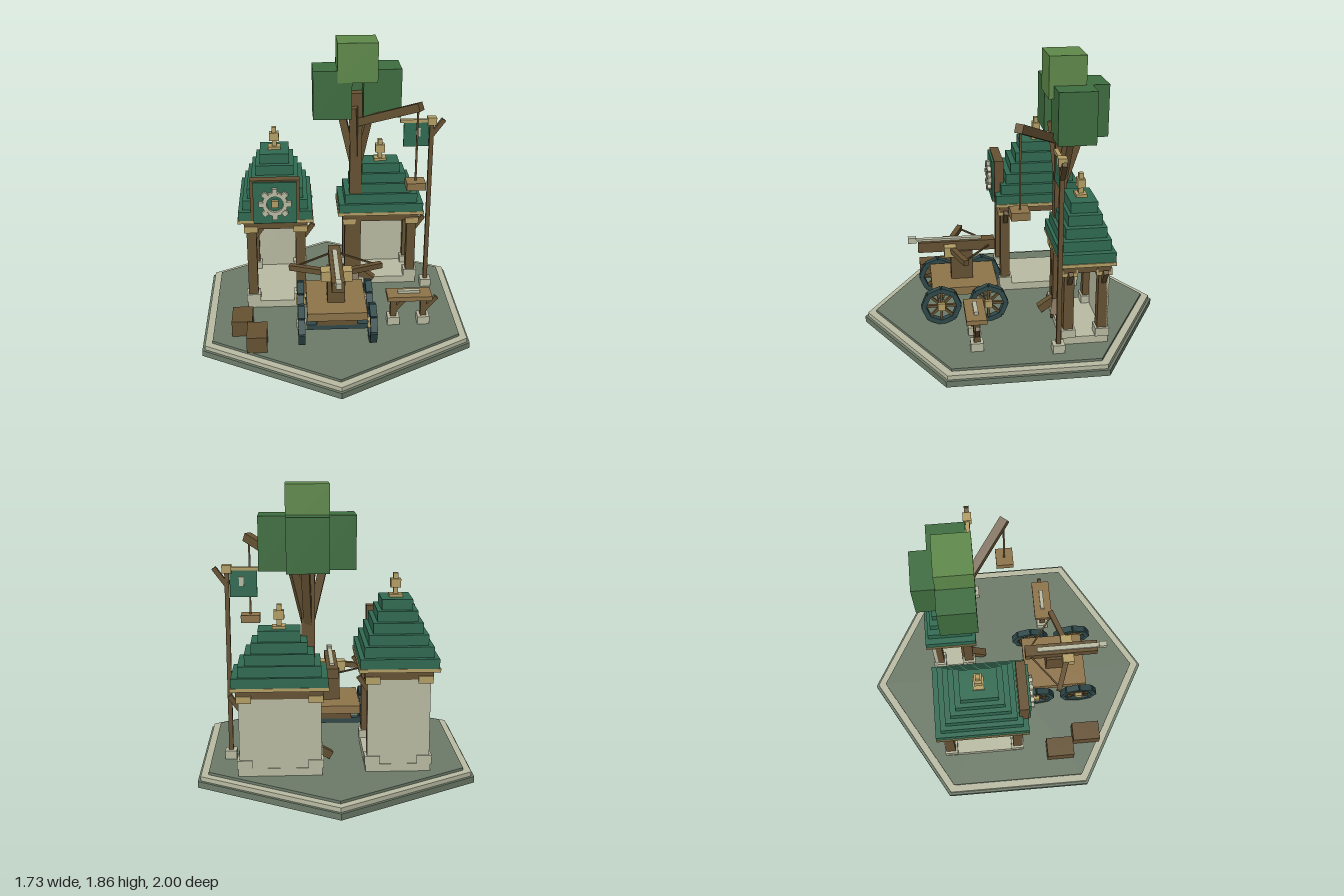
import * as THREE from 'three';

const mat = (name, color) => {
  const m = new THREE.MeshStandardMaterial({ color });
  m.name = name;
  return m;
};

export function createModel() {
  const moss = mat('moss green', 0x6d7b69), stone = mat('pale stone', 0xbabca3);
  const wood = mat('dark wood', 0x665233), plank = mat('plank wood', 0x8e744a);
  const brass = mat('brass', 0xb5a066), roofGreen = mat('roof green', 0x306b52);
  const leaf = mat('leaf green', 0x3f6e40), leafLight = mat('light leaf green', 0x5f8a4a);
  const iron = mat('iron', 0x30494a);
  const model = new THREE.Group();
  model.name = 'hexCourtyard';

  const group = (name, parent = model, x = 0, y = 0, z = 0) => {
    const g = new THREE.Group();
    g.name = name;
    g.position.set(x, y, z);
    parent.add(g);
    return g;
  };
  const add = (parent, name, geo, material) => {
    const m = new THREE.Mesh(geo, material);
    m.name = name;
    parent.add(m);
    return m;
  };
  // box given by its centre and size
  const box = (p, name, material, x, y, z, w, h, d) => {
    const m = add(p, name, new THREE.BoxGeometry(w, h, d), material);
    m.position.set(x, y, z);
    return m;
  };
  // box given by its two opposite corners
  const span = (p, name, material, x0, x1, y0, y1, z0, z1) =>
    box(p, name, material, (x0 + x1) / 2, (y0 + y1) / 2, (z0 + z1) / 2, x1 - x0, y1 - y0, z1 - z0);
  // square timber running from a to b
  const beam = (p, name, material, a, b, w, h = w) => {
    const A = new THREE.Vector3(...a), B = new THREE.Vector3(...b);
    const m = new THREE.Mesh(new THREE.BoxGeometry(w, h, A.distanceTo(B)), material);
    m.name = name;
    m.position.copy(A).add(B).multiplyScalar(0.5);
    m.lookAt(B);
    p.add(m);
    return m;
  };

  // hexagonal ground in three layers
  const base = group('base');
  const hex = (name, material, r, y0, y1) => {
    const g = new THREE.CylinderGeometry(r, r, y1 - y0, 6).toNonIndexed();
    g.computeVertexNormals();
    add(base, name, g, material).position.y = (y0 + y1) / 2;
  };
  hex('foundation', moss, 1, 0, 0.04);
  hex('kerb', stone, 0.98, 0.04, 0.068);
  hex('ground', moss, 0.925, 0.068, 0.085);

  // open-fronted pavilion with a stepped roof; px, pz are the post offsets
  const pavilion = (name, x, z, px, pz, eaveY, tiers, top, roof0, roof1) => {
    const g = group(name, model, x, 0, z);
    const w = 0.064, beamY = eaveY - 0.055;
    box(g, 'floor', stone, 0, 0.11, 0, 2 * px + w + 0.015, 0.05, 2 * pz + w + 0.015);
    for (const sx of [-1, 1]) for (const sz of [-1, 1]) {
      const cx = sx * px, cz = sz * pz;
      box(g, 'plinth', stone, cx, 0.16, cz, 0.095, 0.055, 0.09);
      span(g, 'post', wood, cx - w / 2, cx + w / 2, 0.13, beamY + 0.02, cz - w / 2, cz + w / 2);
      box(g, 'capital', brass, cx, beamY, cz, 0.092, 0.045, 0.1);
      beam(g, 'bracket', wood, [cx + 0.025, beamY - 0.07, cz], [cx + 0.085, beamY + 0.015, cz], 0.03);
    }
    span(g, 'backWall', stone, -px - w / 2, px + w / 2, 0.1, beamY + 0.005, -pz - w / 2 - 0.004, -pz - w / 2 + 0.02);
    for (const s of [-1, 1]) {
      box(g, 'lintel', wood, 0, beamY + 0.028, s * pz, 2 * px + 0.095, 0.055, 0.08);
      box(g, 'sideLintel', wood, s * px, beamY + 0.028, 0, 0.08, 0.055, 2 * pz);
    }
    box(g, 'eave', brass, 0, eaveY + 0.01, 0, 2 * roof0[0] + 0.014, 0.022, 2 * roof0[1] + 0.005);
    const h = (top - eaveY - 0.015) / tiers;
    for (let i = 0; i < tiers; i++) {
      const t = i / (tiers - 1);
      box(g, 'roofTier', roofGreen, 0, eaveY + 0.015 + h * (i + 0.5), 0,
        2 * THREE.MathUtils.lerp(roof0[0], roof1[0], t), h, 2 * THREE.MathUtils.lerp(roof0[1], roof1[1], t));
    }
    // finial
    box(g, 'finialBase', brass, 0, top + 0.009, 0, 0.085, 0.018, 0.07);
    box(g, 'finialStem', brass, 0, top + 0.082, 0, 0.03, 0.135, 0.03);
    box(g, 'finialKnob', brass, 0, top + 0.085, 0, 0.064, 0.055, 0.05);
    return g;
  };
  const tower = pavilion('gearPavilion', -0.382, -0.222, 0.163, 0.238, 0.735, 6, 1.15, [0.243, 0.305], [0.097, 0.12]);
  pavilion('workshopPavilion', 0.35, -0.393, 0.22, 0.108, 0.635, 5, 0.99, [0.294, 0.172], [0.13, 0.085]);

  // gear sign on the tower front
  const sign = group('gearSign', tower, 0, 0.885, 0.29);
  span(sign, 'signFrame', wood, -0.162, 0.162, -0.15, 0.155, -0.045, 0.017);
  span(sign, 'signPanel', roofGreen, -0.142, 0.142, -0.142, 0.145, 0, 0.032);
  const ring = new THREE.Shape().absarc(0, 0, 0.083, 0, Math.PI * 2);
  ring.holes.push(new THREE.Path().absarc(0, 0, 0.055, 0, Math.PI * 2, true));
  const ringGeo = new THREE.ExtrudeGeometry(ring, { depth: 0.022, bevelEnabled: false, curveSegments: 8 });
  add(sign, 'gearRing', ringGeo, stone).position.z = 0.031;
  for (let i = 0; i < 8; i++) {
    const a = i * Math.PI / 4;
    box(sign, 'gearTooth', stone, 0.09 * Math.cos(a), 0.09 * Math.sin(a), 0.044, 0.034, 0.034, 0.026).rotation.z = a;
  }
  box(sign, 'gearHub', brass, 0, 0, 0.04, 0.045, 0.045, 0.024);

  // tree with block foliage
  const tree = group('tree');
  span(tree, 'trunk', wood, 0.13, 0.212, 0.085, 1.51, -0.335, -0.255);
  for (const [x, z] of [[0.06, -0.31], [0.28, -0.34], [0.19, -0.44], [0.15, -0.24]])
    beam(tree, 'branch', wood, [0.17, 0.95, -0.295], [x, 1.42, z], 0.05);
  for (const [x, z] of [[0.03, -0.27], [0.17, -0.17], [0.3, -0.25]])
    beam(tree, 'root', wood, [0.17, 0.2, -0.295], [x, 0.115, z], 0.052);
  span(tree, 'foliageLeft', leaf, -0.12, 0.137, 1.35, 1.68, -0.427, -0.193);
  span(tree, 'foliageRight', leaf, 0.215, 0.468, 1.35, 1.68, -0.46, -0.222);
  span(tree, 'foliageBack', leaf, 0.045, 0.302, 1.35, 1.68, -0.567, -0.33);
  span(tree, 'foliageTop', leafLight, 0.04, 0.306, 1.6, 1.863, -0.423, -0.19);

  // hoist slung from the tree
  const hoist = group('hoist');
  beam(hoist, 'hoistArm', wood, [0.18, 1.3, -0.29], [0.56, 1.5, 0.025], 0.055);
  span(hoist, 'hoistRope', wood, 0.538, 0.55, 0.98, 1.49, 0.01, 0.022);
  box(hoist, 'hoistTray', plank, 0.543, 0.967, 0.018, 0.125, 0.05, 0.115);

  // banner pole
  const pole = group('bannerPole', model, 0.675, 0, -0.21);
  box(pole, 'poleFoot', stone, 0, 0.112, 0, 0.075, 0.055, 0.075);
  span(pole, 'poleShaft', wood, -0.014, 0.014, 0.085, 1.32, -0.014, 0.014);
  box(pole, 'poleCap', brass, 0, 1.328, 0, 0.06, 0.052, 0.055);
  span(pole, 'bannerRail', brass, -0.213, 0, 1.318, 1.34, -0.013, 0.013);
  beam(pole, 'poleBrace', wood, [0, 1.225, 0], [0.08, 1.335, 0], 0.03);
  span(pole, 'bannerCloth', roofGreen, -0.188, -0.018, 1.15, 1.318, -0.008, 0.008);
  box(pole, 'bannerEmblem', stone, -0.09, 1.25, 0, 0.03, 0.058, 0.022);

  // ballista cart
  const cart = group('ballista');
  span(cart, 'deck', plank, -0.19, 0.19, 0.26, 0.315, 0.11, 0.545);
  for (const z of [0.18, 0.49]) {
    span(cart, 'axle', iron, -0.215, 0.215, 0.178, 0.215, z - 0.02, z + 0.02);
    span(cart, 'axleBlock', wood, -0.13, 0.13, 0.21, 0.262, z - 0.025, z + 0.025);
    for (const s of [-1, 1]) {
      const wheel = group('wheel', cart, s * 0.227, 0.21, z);
      for (let i = 0; i < 8; i++) {
        const a = (i + 0.5) * Math.PI / 4;
        const seg = box(wheel, 'rimSegment', iron, 0, 0.108 * Math.cos(a), 0.108 * Math.sin(a), 0.044, 0.032, 0.092);
        seg.rotation.x = a;
      }
      for (let i = 0; i < 4; i++)
        box(wheel, 'spoke', wood, 0, 0, 0, 0.02, 0.016, 0.2).rotation.x = i * Math.PI / 4;
      box(wheel, 'hub', brass, 0, 0, 0, 0.062, 0.05, 0.05);
    }
  }
  span(cart, 'pedestal', wood, -0.057, 0.057, 0.315, 0.515, 0.265, 0.41);
  span(cart, 'stock', wood, -0.04, 0.04, 0.51, 0.58, 0.115, 0.625);
  span(cart, 'boltRail', stone, -0.016, 0.016, 0.578, 0.594, 0.2, 0.64);
  span(cart, 'boltTip', stone, -0.018, 0.018, 0.57, 0.607, 0.635, 0.69);
  span(cart, 'clamp', brass, -0.1, 0.1, 0.492, 0.562, 0.375, 0.455);
  for (const s of [-1, 1]) {
    beam(cart, 'bowArm', wood, [s * 0.04, 0.538, 0.415], [s * 0.295, 0.538, 0.325], 0.036);
    beam(cart, 'bowString', wood, [s * 0.265, 0.54, 0.33], [0, 0.54, 0.13], 0.01);
  }

  // crates
  const crates = group('crates');
  span(crates, 'crateBack', wood, -0.677, -0.543, 0.085, 0.193, 0.225, 0.415);
  span(crates, 'crateFront', wood, -0.575, -0.446, 0.085, 0.193, 0.42, 0.612);

  // workbench
  const bench = group('workbench');
  span(bench, 'benchTop', plank, 0.34, 0.633, 0.275, 0.306, 0.228, 0.355);
  span(bench, 'benchTool', stone, 0.412, 0.558, 0.306, 0.325, 0.275, 0.303);
  for (const x of [0.385, 0.585]) {
    box(bench, 'benchFoot', stone, x, 0.112, 0.29, 0.08, 0.055, 0.08);
    span(bench, 'benchLeg', wood, x - 0.02, x + 0.02, 0.135, 0.28, 0.27, 0.31);
    beam(bench, 'benchBrace', wood, [x + 0.01, 0.185, 0.29], [x + 0.085, 0.27, 0.29], 0.028);
  }
  return model;
}
